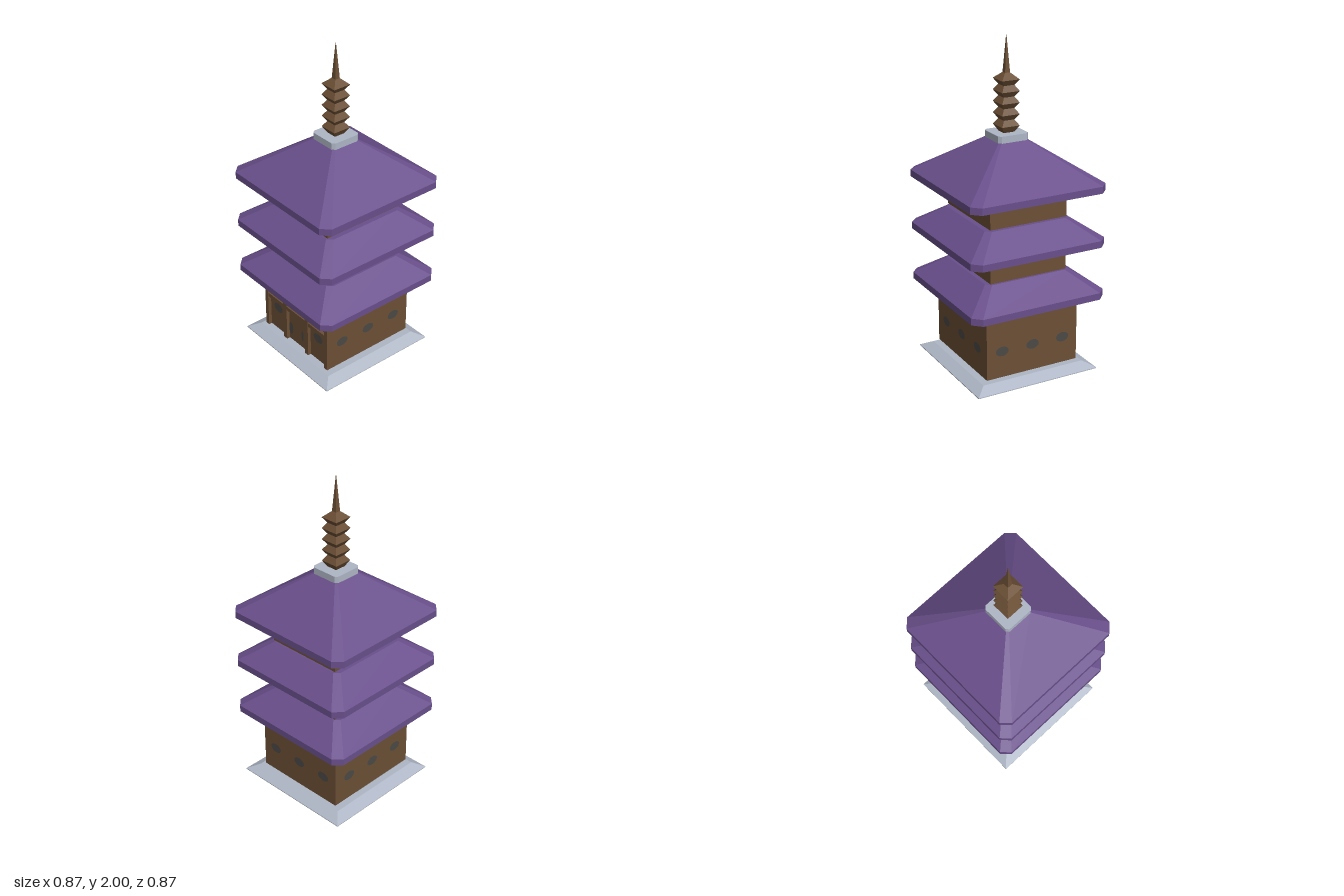
import * as THREE from 'three';

const mat = (name, color, side = THREE.FrontSide) => {
  const m = new THREE.MeshStandardMaterial({ color, side });
  m.name = name;
  return m;
};

export function createModel() {
  const root = new THREE.Group();
  root.name = 'pagoda';
  const purple = mat('purple roof', 0x694f8b, THREE.DoubleSide);
  const brown = mat('brown wood', 0x6b4f35);
  const stone = mat('pale stone', 0xaeb6c5, THREE.DoubleSide);
  const dark = mat('dark window', 0x4b4945);

  const add = (parent, name, geometry, material, x = 0, y = 0, z = 0) => {
    const mesh = new THREE.Mesh(geometry, material);
    mesh.name = name;
    mesh.position.set(x, y, z);
    parent.add(mesh);
    return mesh;
  };
  const box = (parent, name, x0, x1, y0, y1, z0, z1, material = brown) =>
    add(parent, name, new THREE.BoxGeometry(x1 - x0, y1 - y0, z1 - z0), material,
      (x0 + x1) / 2, (y0 + y1) / 2, (z0 + z1) / 2);

  // Square outline with optional cut corners, running from +z towards +x
  const outline = (h, c) => {
    const pts = [];
    for (let i = 0; i < 4; i++) {
      const a = i * Math.PI / 2, s = Math.round(Math.sin(a)), k = Math.round(Math.cos(a));
      const corner = c ? [[h - c, h], [h, h - c]] : [[h, h]];
      corner.forEach(([x, z]) => pts.push([x * k + z * s, z * k - x * s]));
    }
    return pts;
  };

  // Flat-faced shell through rings of [half width, y, corner cut], open below
  const shell = (rings, closedTop) => {
    const loops = rings.map(([h, y, c = 0]) => outline(h, c).map(([x, z]) => [x, y, z]));
    const pos = [];
    const tri = (...p) => p.forEach(v => pos.push(...v));
    for (let r = 0; r + 1 < loops.length; r++) {
      const a = loops[r], b = loops[r + 1], n = a.length;
      for (let i = 0; i < n; i++) {
        const j = (i + 1) % n;
        tri(a[i], a[j], b[j]);
        tri(a[i], b[j], b[i]);
      }
    }
    if (closedTop) {
      const t = loops[loops.length - 1];
      for (let i = 1; i + 1 < t.length; i++) tri(t[0], t[i], t[i + 1]);
    }
    const g = new THREE.BufferGeometry();
    g.setAttribute('position', new THREE.Float32BufferAttribute(pos, 3));
    g.computeVertexNormals();
    return g;
  };

  // Stone plinth
  add(root, 'plinth', shell([[0.4, 0], [0.4, 0.005], [0.335, 0.04]], true), stone);

  // Ground floor with a framed front
  const ground = new THREE.Group();
  ground.name = 'groundFloor';
  root.add(ground);
  box(ground, 'groundWalls', -0.303, 0.303, 0.055, 0.457, -0.318, 0.296);
  for (const s of [-1, 1]) {
    for (const [a, b] of [[0.088, 0.12], [0.275, 0.303]]) {
      box(ground, 'frontPost', Math.min(s * a, s * b), Math.max(s * a, s * b), 0.055, 0.457, 0.296, 0.318);
    }
  }
  for (const [a, b] of [[-0.275, -0.12], [-0.088, 0.088], [0.12, 0.275]]) {
    box(ground, 'frontBeam', a, b, 0.275, 0.302, 0.296, 0.316);
  }
  box(ground, 'door', -0.08, 0.08, 0.065, 0.266, 0.296, 0.303);

  // Oval windows and door marks
  const oval = (name, rx, ry, x, y, z, turn) => {
    const m = add(ground, name, new THREE.CircleGeometry(1, 20), dark, x, y, z);
    m.scale.set(rx, ry, 1);
    m.rotation.y = turn;
  };
  for (const s of [-1, 1]) oval('frontWindow', 0.042, 0.032, s * 0.195, 0.222, 0.299, 0);
  for (const p of [-0.203, 0, 0.203]) {
    oval('backWindow', 0.042, 0.03, p, 0.222, -0.321, Math.PI);
    for (const s of [-1, 1]) oval('sideWindow', 0.042, 0.03, s * 0.306, 0.222, p, s * Math.PI / 2);
  }
  oval('doorMark', 0.02, 0.045, -0.06, 0.15, 0.306, 0);
  oval('doorMark', 0.01, 0.04, 0.052, 0.155, 0.306, 0);

  // Upper floors
  box(root, 'middleFloor', -0.25, 0.25, 0.633, 0.79, -0.268, 0.268);
  box(root, 'upperFloor', -0.25, 0.25, 0.961, 1.122, -0.268, 0.268);

  // Roofs, hollow below
  const roof = (name, y, topY, topHalf, topCut, closed) =>
    add(root, name, shell([[0.437, y, 0.05], [0.437, y + 0.042, 0.05], [topHalf, topY, topCut]], closed), purple);
  roof('lowerRoof', 0.468, 0.628, 0.272, 0.03, true);
  roof('middleRoof', 0.795, 0.953, 0.272, 0.03, true);
  roof('topRoof', 1.126, 1.402, 0.094, 0.012, false);

  // Stone cap
  add(root, 'roofCap', shell([[0.097, 1.4, 0.016], [0.097, 1.441, 0.016]], true), stone);

  // Ringed spire
  const rings = [[0.034, 1.441]];
  for (let i = 0; i < 5; i++) {
    const y = 1.48 + i * 0.0675;
    rings.push([0.057, y]);
    if (i < 4) rings.push([0.034, y + 0.034]);
  }
  rings.push([0.016, 1.787], [0.001, 2]);
  add(root, 'spire', shell(rings, true), brown);

  return root;
}
